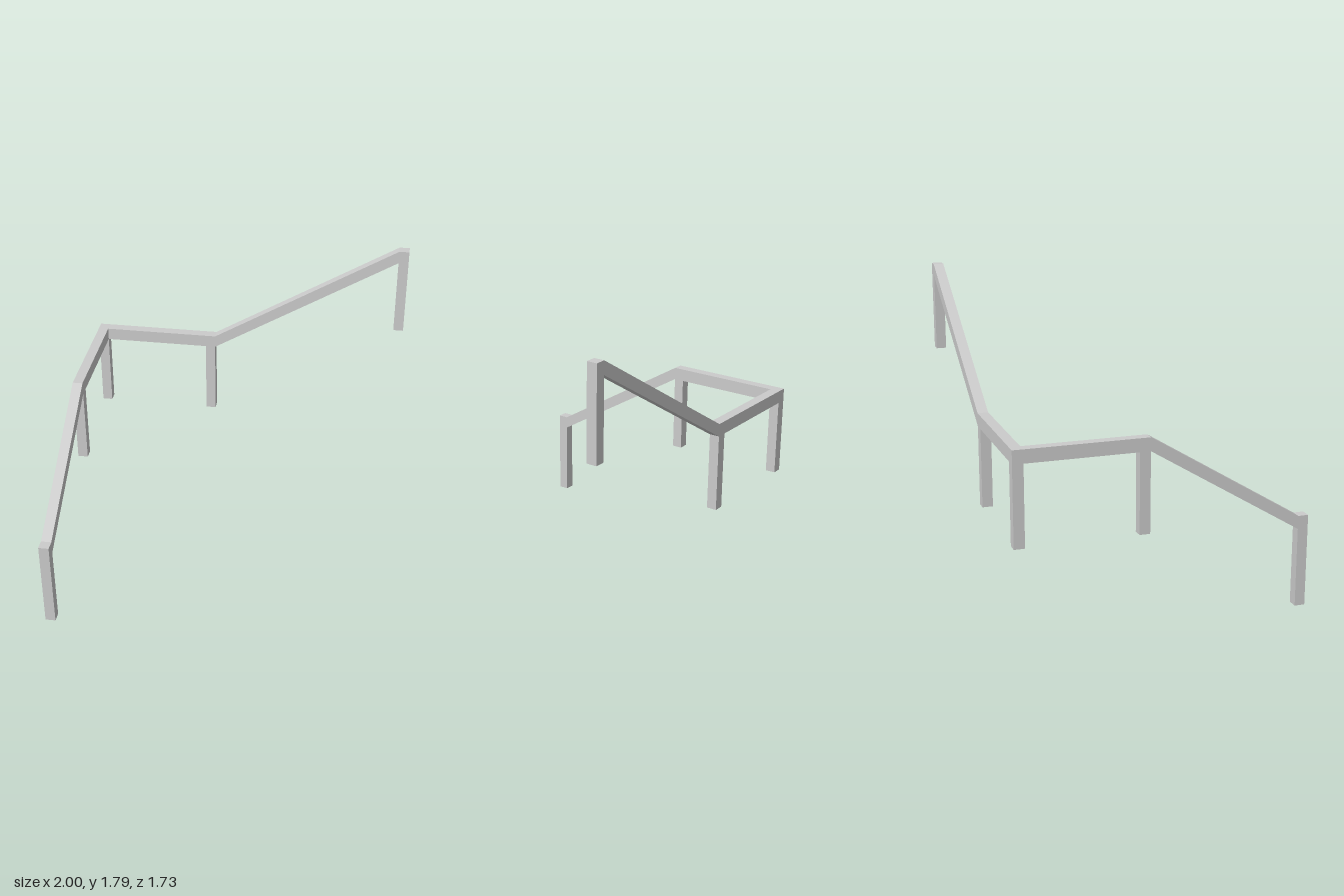
import * as THREE from 'three';

const W = 0.062;   // thickness of posts and rails
const H = 0.078;   // vertical depth of rails
const X = -1, Z = -0.865; // outer corner where the two runs meet

const material = new THREE.MeshStandardMaterial({ color: 0xcccccc });

function add(parent, name, geometry) {
  const mesh = new THREE.Mesh(geometry, material);
  mesh.name = name;
  parent.add(mesh);
}

// Square post given by its low x and z corner and its height range
function post(parent, name, x, z, y0, y1) {
  const geometry = new THREE.BoxGeometry(W, y1 - y0, W);
  geometry.translate(x + W / 2, (y0 + y1) / 2, z + W / 2);
  add(parent, name, geometry);
}

// Rail with vertical ends; points (s, top y) follow its upper edge
function rail(parent, name, points, alongZ) {
  const top = points.map(([s, y]) => new THREE.Vector2(s, y));
  const bottom = points.map(([s, y]) => new THREE.Vector2(s, y - H)).reverse();
  const geometry = new THREE.ExtrudeGeometry(new THREE.Shape([...bottom, ...top]), {
    depth: W, bevelEnabled: false,
  });
  if (alongZ) geometry.rotateY(-Math.PI / 2).translate(X + W, 0, 0);
  else geometry.translate(0, 0, Z);
  add(parent, name, geometry);
}

export function createModel() {
  const model = new THREE.Group();
  model.name = 'stairHandrail';

  // Shared post at the landing corner
  post(model, 'cornerPost', X, Z, 0.55, 1.1);

  // Upper run along the back: level, then climbing toward +x
  const upper = new THREE.Group();
  upper.name = 'upperRun';
  rail(upper, 'upperRail', [[X + W, 1.1], [-0.219, 1.1], [1 - W, 1.792]], false);
  post(upper, 'upperLandingPost', -0.219 - W, Z, 0.55, 1.1 - H);
  post(upper, 'topPost', 1 - W, Z, 1.242, 1.792);

  // Lower run along the side: level, then descending toward +z
  const lower = new THREE.Group();
  lower.name = 'lowerRun';
  rail(lower, 'lowerRail', [[Z + W, 1.1], [-0.095, 1.1], [-Z - W, 0.551]], true);
  post(lower, 'lowerLandingPost', X, -0.095 - W, 0.55, 1.1 - H);
  post(lower, 'bottomPost', X, -Z - W, 0, 0.551);

  model.add(upper, lower);
  return model;
}
